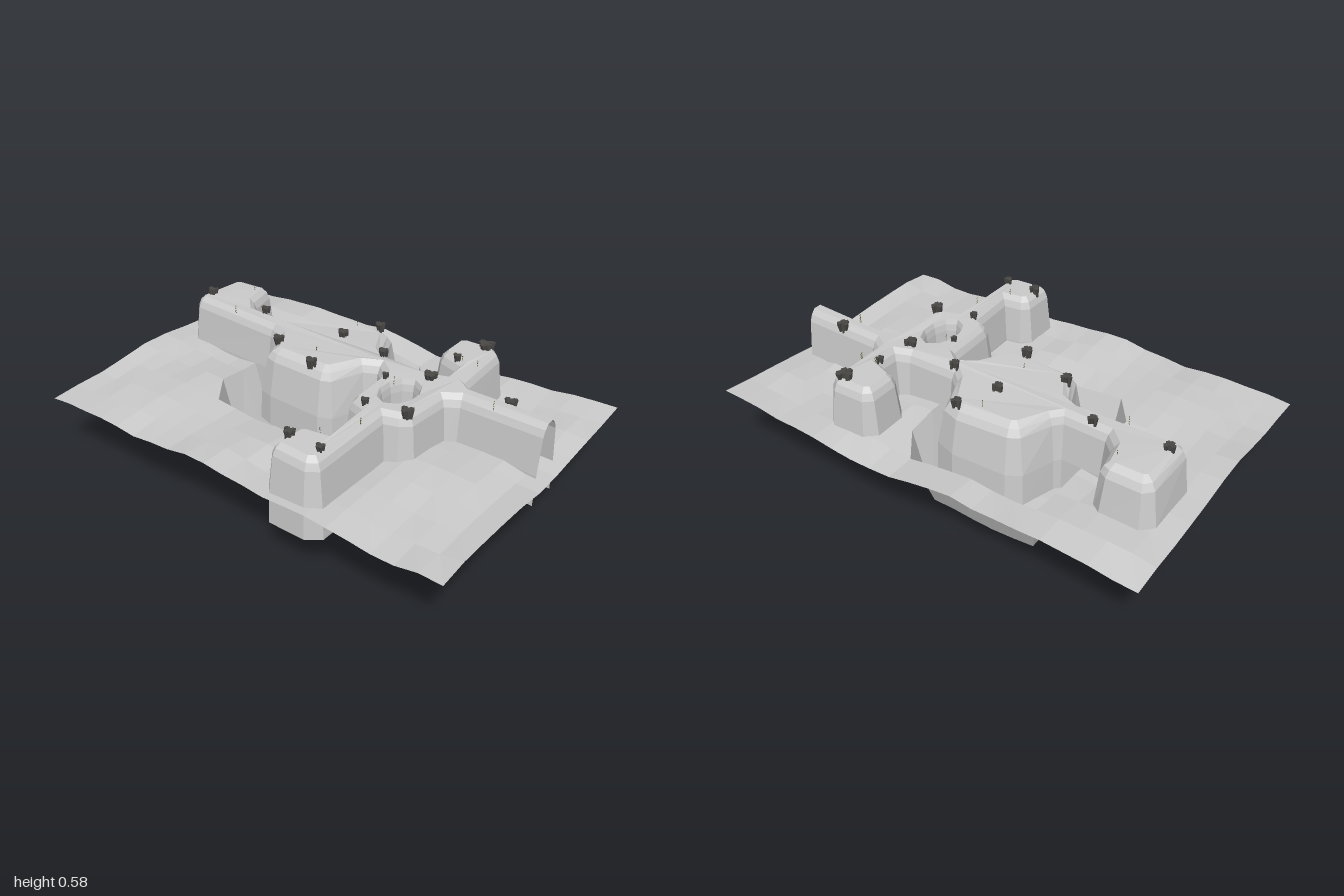
import * as THREE from 'three';
import { mergeGeometries } from 'three/addons/utils/BufferGeometryUtils.js';

const grey = new THREE.MeshStandardMaterial({ color: 0xcccccc, flatShading: true, side: THREE.DoubleSide });
const rockMat = new THREE.MeshStandardMaterial({ color: 0x4a4845, flatShading: true });
const leafMat = new THREE.MeshStandardMaterial({ color: 0x66702f, side: THREE.DoubleSide });

let seed = 7;
const rand = () => (seed = (seed * 16807) % 2147483647) / 2147483647;

// Cave footprint: x, z and an optional wall-lean factor for the wide rooms
const outline = [
  [0.08, -0.87], [0.12, -0.91], [0.37, -0.91, 1.3], [0.425, -0.86, 1.3], [0.43, -0.69, 1.3], [0.39, -0.645],
  [0.27, -0.62], [0.23, -0.58], [0.225, -0.41], [0.25, -0.39], [0.4, -0.345, 1.5], [0.435, -0.28, 1.5],
  [0.445, -0.03, 1.5], [0.41, 0.07, 1.5], [0.25, 0.12], [0.225, 0.15], [0.225, 0.36], [0.24, 0.4], [0.3, 0.4],
  [0.33, 0.31], [0.37, 0.28], [0.515, 0.28], [0.56, 0.33], [0.565, 0.49], [0.515, 0.54], [0.24, 0.55],
  [0.22, 0.58], [0.215, 0.945], [0.07, 0.945], [0.08, 0.58], [0.055, 0.54], [-0.145, 0.53], [-0.195, 0.48],
  [-0.21, 0.43], [-0.595, 0.43], [-0.64, 0.37], [-0.64, 0.2], [-0.605, 0.17], [-0.45, 0.175], [-0.41, 0.22],
  [-0.4, 0.285], [-0.22, 0.275], [-0.2, 0.22], [-0.155, 0.2], [0.06, 0.19], [0.08, 0.165], [0.06, 0.13],
  [-0.09, 0.08, 1.5], [-0.115, 0.015, 1.5], [-0.11, -0.25, 1.5], [-0.09, -0.32, 1.5], [0.055, -0.37], [0.075, -0.42],
];
const OPEN_EDGE = 27; // mouth of the entrance tunnel
const pillar = Array.from({ length: 10 }, (_, i) => {
  const a = -i * Math.PI / 5;
  return [-0.015 + 0.09 * Math.cos(a), 0.36 + 0.055 * Math.sin(a), 0.4];
});

// Wall profile: inset, height
const profile = [[0, 0.2], [0.004, 0.34], [0.022, 0.5], [0.034, 0.53], [0.054, 0.552]];
const roofWave = (x, z) => 0.007 * Math.sin(9 * x + 1) * Math.cos(6 * z);

// Push a closed loop inwards along its mitred corners and lift it
function ring(loop, [inset, y]) {
  return loop.map((p, i) => {
    const a = loop[(i + loop.length - 1) % loop.length], b = loop[(i + 1) % loop.length];
    const n1 = new THREE.Vector2(a[1] - p[1], p[0] - a[0]).normalize();
    const n2 = new THREE.Vector2(p[1] - b[1], b[0] - p[0]).normalize();
    const m = n1.clone().add(n2).normalize();
    const d = inset * (p[2] ?? 1) / Math.max(0.7, m.dot(n1));
    const mouth = p[1] > 0.9;
    const x = p[0] + (mouth ? Math.sign(0.14 - p[0]) * inset : m.x * d), z = p[1] + (mouth ? 0 : m.y * d);
    return new THREE.Vector3(x, y + (y > 0.4 ? roofWave(x, z) : 0), z);
  });
}

function caveGeometry() {
  const pts = [], tops = [];
  for (const loop of [outline, pillar]) {
    const rings = profile.map((step) => ring(loop, step));
    for (let k = 0; k + 1 < rings.length; k++) {
      for (let i = 0; i < loop.length; i++) {
        if (loop === outline && i === OPEN_EDGE) continue;
        const j = (i + 1) % loop.length, lo = rings[k], hi = rings[k + 1];
        pts.push(lo[i], hi[i], lo[j], lo[j], hi[i], hi[j]);
      }
    }
    tops.push(rings.at(-1));
  }
  // Ceiling, pierced by the pillar opening
  const flat = tops.map((t) => t.map((v) => new THREE.Vector2(v.x, v.z)));
  const all = tops.flat();
  for (const face of THREE.ShapeUtils.triangulateShape(flat[0], [flat[1]])) {
    const [a, b, c] = face.map((i) => all[i]);
    const up = b.clone().sub(a).cross(c.clone().sub(a)).y > 0;
    pts.push(a, up ? b : c, up ? c : b);
  }
  const g = new THREE.BufferGeometry().setFromPoints(pts);
  g.computeVertexNormals();
  return g;
}

// Rolling ground sheet with a sunken pit beneath the main room
function groundGeometry() {
  const g = new THREE.PlaneGeometry(1.35, 2, 10, 20).rotateX(-Math.PI / 2);
  const p = g.attributes.position;
  for (let i = 0; i < p.count; i++) {
    const x = p.getX(i), z = p.getZ(i);
    const inPit = x > -0.2 && x < 0.45 && z > -0.45 && z < 0.15;
    let y = 0.345 + 0.011 * Math.sin(7 * x + 4 * z) + 0.009 * Math.sin(11 * z - 5 * x) + 0.012 * (rand() - 0.5);
    if (x > 0.6) y += 0.022 * Math.sin(5 * z + 3);
    if (inPit) y = 0.025 + 0.012 * Math.sin(8 * x + 1) - 0.018 * Math.exp(-60 * (z + 0.2) ** 2);
    p.setY(i, Math.max(0, y));
  }
  const flat = g.toNonIndexed();
  flat.computeVertexNormals();
  return flat;
}

// Cluster of tapered hanging stones
function rockCluster(size) {
  const parts = [];
  for (let i = 0; i < 5; i++) {
    const h = (0.03 + 0.02 * rand()) * size, a = i * 2.4, r = i ? 0.014 * size : 0;
    const g = new THREE.CylinderGeometry(0.012 * size, 0.006 * size, h, 5);
    g.rotateZ(0.3 * (rand() - 0.5));
    g.translate(r * Math.cos(a), -h / 2, r * Math.sin(a));
    parts.push(g);
  }
  return mergeGeometries(parts);
}

// Hanging vine: paired leaves along a thin stem
function vineGeometry(length) {
  const pts = [], v = (x, y, z = 0) => pts.push(new THREE.Vector3(x, y, z));
  v(-0.0015, 0); v(0.0015, 0); v(0, -length);
  for (let y = 0; y > -length; y -= 0.011) {
    for (const s of [-1, 1]) {
      v(0, y); v(s * 0.011, y - 0.009, 0.003); v(0, y - 0.007);
    }
  }
  const g = new THREE.BufferGeometry().setFromPoints(pts);
  g.computeVertexNormals();
  return g;
}

export function createModel() {
  const model = new THREE.Group();
  const add = (name, geometry, material, parent = model) => {
    const mesh = new THREE.Mesh(geometry, material);
    mesh.name = name;
    parent.add(mesh);
    return mesh;
  };
  add('ground', groundGeometry(), grey);
  add('caveShell', caveGeometry(), grey);

  // Stones: x, z, size
  const rocks = new THREE.Group();
  rocks.name = 'ceilingRocks';
  model.add(rocks);
  for (const [x, z, s] of [
    [0.18, -0.84, 1], [0.19, -0.52, 0.9], [0.01, -0.29, 1], [-0.065, -0.05, 1], [0.22, -0.1, 1], [0.385, -0.02, 0.9],
    [0.185, 0.14, 0.9], [0.03, 0.26, 0.6], [-0.53, 0.22, 1], [-0.535, 0.37, 0.8], [-0.18, 0.31, 0.7],
    [-0.145, 0.485, 1.1], [0.15, 0.4, 1.2], [0.335, 0.41, 0.7], [0.5, 0.455, 1.4], [0.185, 0.75, 1.1],
  ]) {
    const rock = add('rockCluster', rockCluster(s), rockMat, rocks);
    rock.position.set(x, (z > 0.7 ? 0.56 : 0.577) + roofWave(x, z), z);
  }

  // Vines: x, z, length
  const vines = new THREE.Group();
  vines.name = 'vines';
  model.add(vines);
  for (const [x, z, l] of [
    [0.11, 0.715, 0.1], [0.345, 0.5, 0.05], [0.34, 0.43, 0.05], [-0.305, 0.38, 0.06], [-0.45, 0.3, 0.03],
    [0.03, -0.1, 0.03], [0.34, -0.115, 0.03], [0.315, -0.7, 0.04], [0.11, -0.635, 0.08], [0.03, 0.3, 0.04],
  ]) {
    const vine = add('vine', vineGeometry(l), leafMat, vines);
    vine.position.set(x, 0.578, z);
    vine.rotation.y = 0.5 * (rand() - 0.5) + 0.5;
  }
  return model;
}
